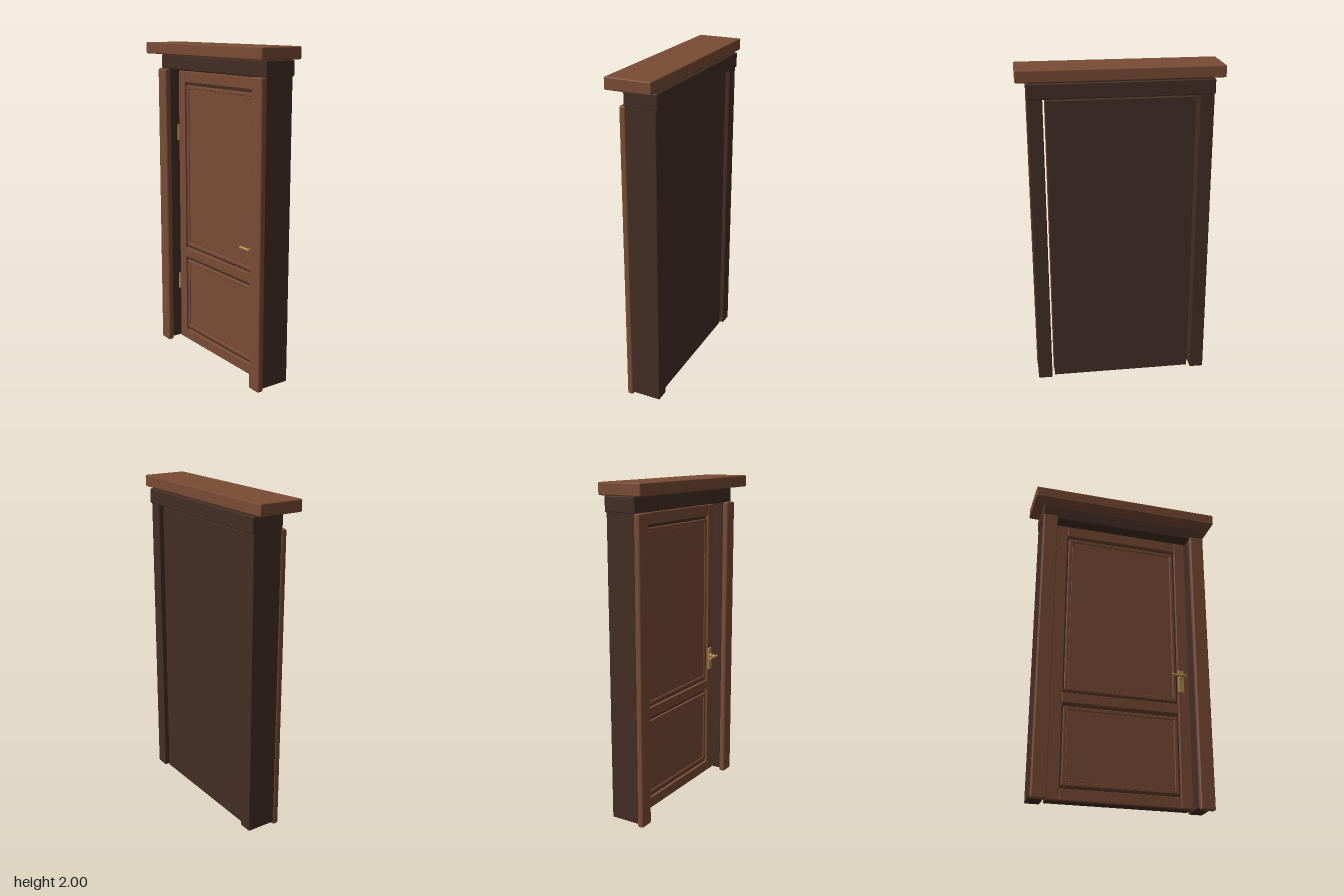
import * as THREE from 'three';
import { RoundedBoxGeometry } from 'three/addons/geometries/RoundedBoxGeometry.js';

const mat = (name, color) => {
  const m = new THREE.MeshStandardMaterial({ color });
  m.name = name;
  return m;
};

export function createModel() {
  const root = new THREE.Group();
  root.name = 'door';
  const wood = mat('wood', 0x7a4c35);
  const darkWood = mat('dark wood', 0x432e25);
  const brass = mat('brass', 0xb08d4a);

  // Chamfered board given by its extents on each axis
  function board(parent, name, material, [x0, x1], [y0, y1], [z0, z1], bevel = 0.006) {
    const geo = new RoundedBoxGeometry(x1 - x0, y1 - y0, z1 - z0, 1, bevel);
    const mesh = new THREE.Mesh(geo, material);
    mesh.position.set((x0 + x1) / 2, (y0 + y1) / 2, (z0 + z1) / 2);
    mesh.name = name;
    parent.add(mesh);
    return mesh;
  }

  function rod(parent, name, radius, length, axis, position) {
    const mesh = new THREE.Mesh(new THREE.CylinderGeometry(radius, radius, length, 16), brass);
    if (axis === 'x') mesh.rotation.z = Math.PI / 2;
    if (axis === 'z') mesh.rotation.x = Math.PI / 2;
    mesh.position.set(...position);
    mesh.name = name;
    parent.add(mesh);
  }

  // Frame: jambs with front casings, lintel and cornice
  const frame = new THREE.Group();
  frame.name = 'frame';
  root.add(frame);
  for (const [side, s] of [['left', 1], ['right', -1]]) {
    const span = (a, b) => (s > 0 ? [a, b] : [-b, -a]);
    board(frame, side + 'Jamb', darkWood, span(0.45, 0.537), [0.018, 1.84], [-0.13, 0.056]);
    board(frame, side + 'Casing', wood, span(0.448, 0.54), [0, 1.836], [0.052, 0.09], 0.01);
  }
  board(frame, 'lintel', darkWood, [-0.54, 0.54], [1.834, 1.925], [-0.14, 0.062], 0.007);
  board(frame, 'cornice', wood, [-0.6, 0.6], [1.93, 2], [-0.136, 0.14], 0.007);
  board(frame, 'corniceJoint', darkWood, [-0.525, 0.525], [1.915, 1.94], [-0.125, 0.05], 0.003);

  // Door leaf: dark core with stiles and rails in front
  const leaf = new THREE.Group();
  leaf.name = 'doorLeaf';
  root.add(leaf);
  board(leaf, 'core', darkWood, [-0.433, 0.433], [0.022, 1.82], [-0.11, -0.02], 0.003);
  board(leaf, 'rightStile', wood, [-0.436, -0.364], [0.02, 1.822], [-0.03, 0], 0.004);
  board(leaf, 'leftStile', wood, [0.364, 0.436], [0.02, 1.822], [-0.03, 0], 0.004);
  const rails = { bottomRail: [0.02, 0.086], middleRail: [0.603, 0.666], topRail: [1.754, 1.822] };
  for (const [name, ys] of Object.entries(rails)) {
    board(leaf, name, wood, [-0.363, 0.363], ys, [-0.03, 0], 0.004);
  }

  // Panels, each set in a thin moulding
  for (const [name, y0, y1] of [['lower', 0.105, 0.582], ['upper', 0.682, 1.735]]) {
    const w = 0.353, t = 0.023, z = [-0.03, -0.004];
    board(leaf, name + 'Panel', wood, [-w + t, w - t], [y0 + t, y1 - t], [-0.03, -0.01], 0.003);
    board(leaf, name + 'MouldingBottom', wood, [-w, w], [y0, y0 + t], z, 0.005);
    board(leaf, name + 'MouldingTop', wood, [-w, w], [y1 - t, y1], z, 0.005);
    for (const x of [-w, w - t]) {
      board(leaf, name + 'MouldingSide', wood, [x, x + t], [y0, y1], z, 0.005);
    }
  }

  // Lever handle
  const handle = new THREE.Group();
  handle.name = 'handle';
  root.add(handle);
  board(handle, 'handlePlate', brass, [0.364, 0.4], [0.74, 0.886], [-0.002, 0.012], 0.004);
  rod(handle, 'handleRose', 0.014, 0.014, 'z', [0.383, 0.835, 0.018]);
  rod(handle, 'handleSpindle', 0.008, 0.05, 'z', [0.383, 0.835, 0.033]);
  rod(handle, 'handleLever', 0.008, 0.09, 'x', [0.353, 0.835, 0.054]);

  // Hinges in the gap beside the right stile
  for (const y of [0.415, 1.428]) rod(root, 'hinge', 0.008, 0.104, 'y', [-0.443, y, 0]);

  return root;
}
